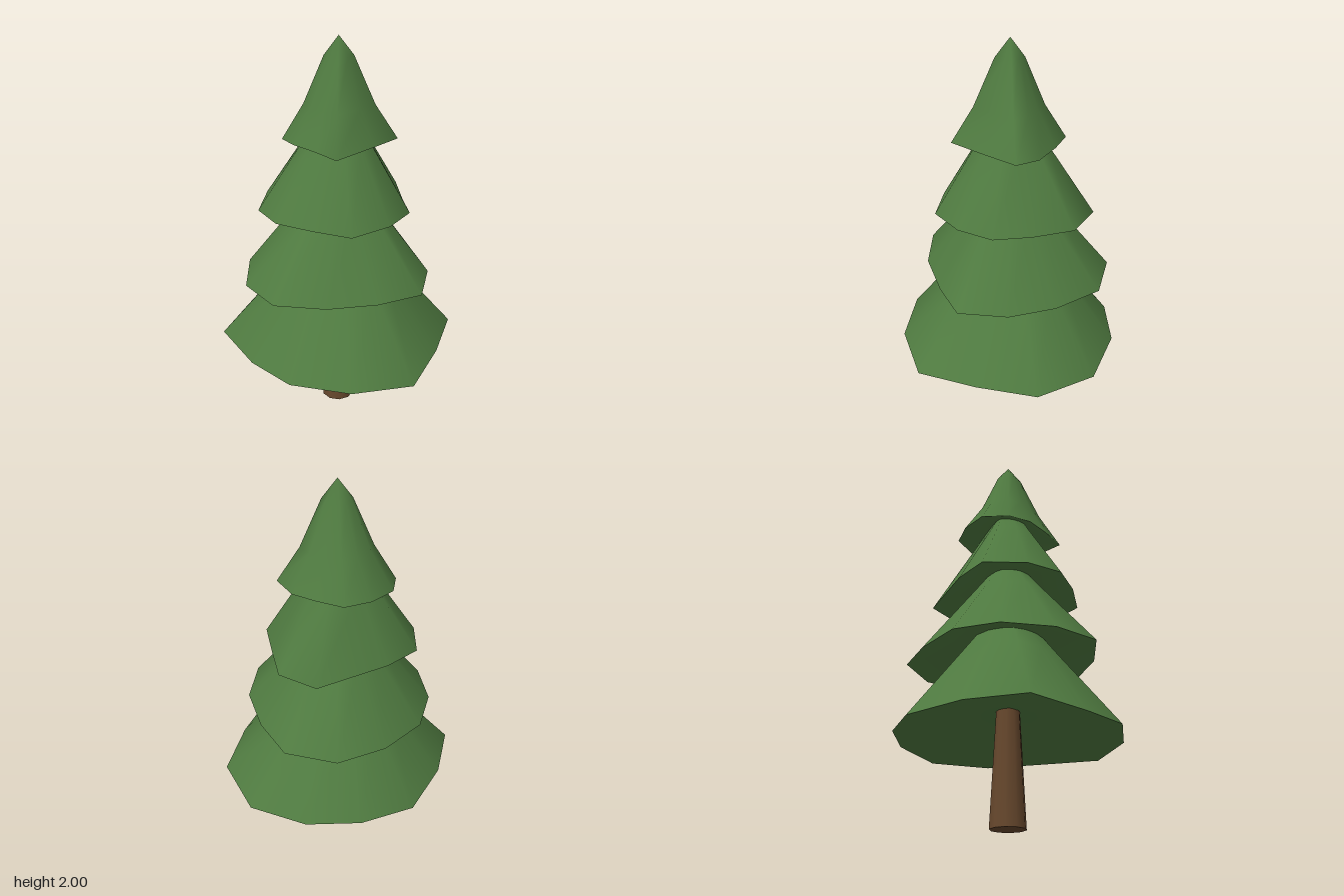
import * as THREE from 'three';

const foliage = new THREE.MeshStandardMaterial({ name: 'pine green', color: 0x4f7a40 });
const bark = new THREE.MeshStandardMaterial({ name: 'bark brown', color: 0x67482d });

// Centre line of the tree, slightly behind the middle
const CX = 0, CZ = -0.015;

// Each tier: irregular rim [x, z], clockwise from the back, then rings [scale, height] up to the tip
const tiers = [
  {
    name: 'bottomTier', y: 0.43, hollow: 0.14, rings: [[0.48, 0.81], [0.2, 1.02]], tip: 1.16,
    rim: [[0, -0.56], [0.27, -0.51], [0.52, -0.33], [0.61, -0.02], [0.48, 0.26], [0.31, 0.52],
      [0, 0.56], [-0.29, 0.46], [-0.47, 0.25], [-0.62, -0.03], [-0.49, -0.29], [-0.28, -0.51]],
  },
  {
    name: 'lowerMiddleTier', y: 0.81, hollow: 0.18, rings: [[0.42, 1.17], [0.2, 1.31]], tip: 1.43,
    rim: [[0.11, -0.51], [0.34, -0.39], [0.42, -0.15], [0.45, 0.09], [0.37, 0.32], [0.15, 0.37],
      [-0.1, 0.4], [-0.35, 0.34], [-0.48, 0.12], [-0.46, -0.13], [-0.35, -0.33], [-0.14, -0.45]],
  },
  {
    name: 'upperMiddleTier', y: 1.17, hollow: 0.16, rings: [[0.43, 1.51], [0.2, 1.65]], tip: 1.77,
    rim: [[0.18, -0.39], [0.33, -0.25], [0.33, -0.05], [0.33, 0.14], [0.21, 0.28], [0.02, 0.36],
      [-0.16, 0.29], [-0.32, 0.19], [-0.4, 0.01], [-0.35, -0.2], [-0.18, -0.29]],
  },
  {
    name: 'topTier', y: 1.51, hollow: 0.14, rings: [[0.61, 1.68], [0.25, 1.91]], tip: 2,
    rim: [[0.03, -0.28], [0.14, -0.2], [0.23, -0.1], [0.28, 0.02], [0.15, 0.13], [-0.04, 0.26],
      [-0.13, 0.165], [-0.22, 0.06], [-0.27, -0.06], [-0.22, -0.19], [-0.1, -0.26]],
  },
];

function smoothMesh(name, points, index, material) {
  const geo = new THREE.BufferGeometry();
  geo.setAttribute('position', new THREE.Float32BufferAttribute(points.flat(), 3));
  geo.setIndex(index);
  geo.computeVertexNormals();
  const mesh = new THREE.Mesh(geo, material);
  mesh.name = name;
  return mesh;
}

function makeTier({ name, y, hollow, rings, tip, rim }) {
  const n = rim.length;
  // The rim waves gently up and down
  const edge = rim.map(([x, z], i) => [x, y + 0.007 * Math.sin(i * 2.1 + 0.5), z]);
  const group = new THREE.Group();
  group.name = name;

  // Outer slope
  const points = [...edge];
  for (const [s, h] of rings) {
    for (const [x, z] of rim) points.push([CX + (x - CX) * s, h, CZ + (z - CZ) * s]);
  }
  points.push([CX, tip, CZ]);
  const index = [];
  for (let i = 0; i < n; i++) {
    const j = (i + 1) % n;
    for (let r = 0; r < rings.length; r++) {
      const a = r * n, b = a + n;
      index.push(a + j, a + i, b + i, a + j, b + i, b + j);
    }
    const last = rings.length * n;
    index.push(last + j, last + i, points.length - 1);
  }
  group.add(smoothMesh('slope', points, index, foliage));

  // Hollow underside
  const under = [];
  for (let i = 0; i < n; i++) under.push(i, (i + 1) % n, n);
  group.add(smoothMesh('underside', [...edge, [CX, y + hollow, CZ]], under, foliage));
  return group;
}

export function createModel() {
  const tree = new THREE.Group();
  tree.name = 'pineTree';

  // Tapered trunk running up into the lowest tier
  const trunk = new THREE.Mesh(new THREE.CylinderGeometry(0.055, 0.087, 0.62, 10), bark);
  trunk.name = 'trunk';
  trunk.position.set(-0.005, 0.31, CZ);
  tree.add(trunk);

  for (const tier of tiers) tree.add(makeTier(tier));
  return tree;
}
